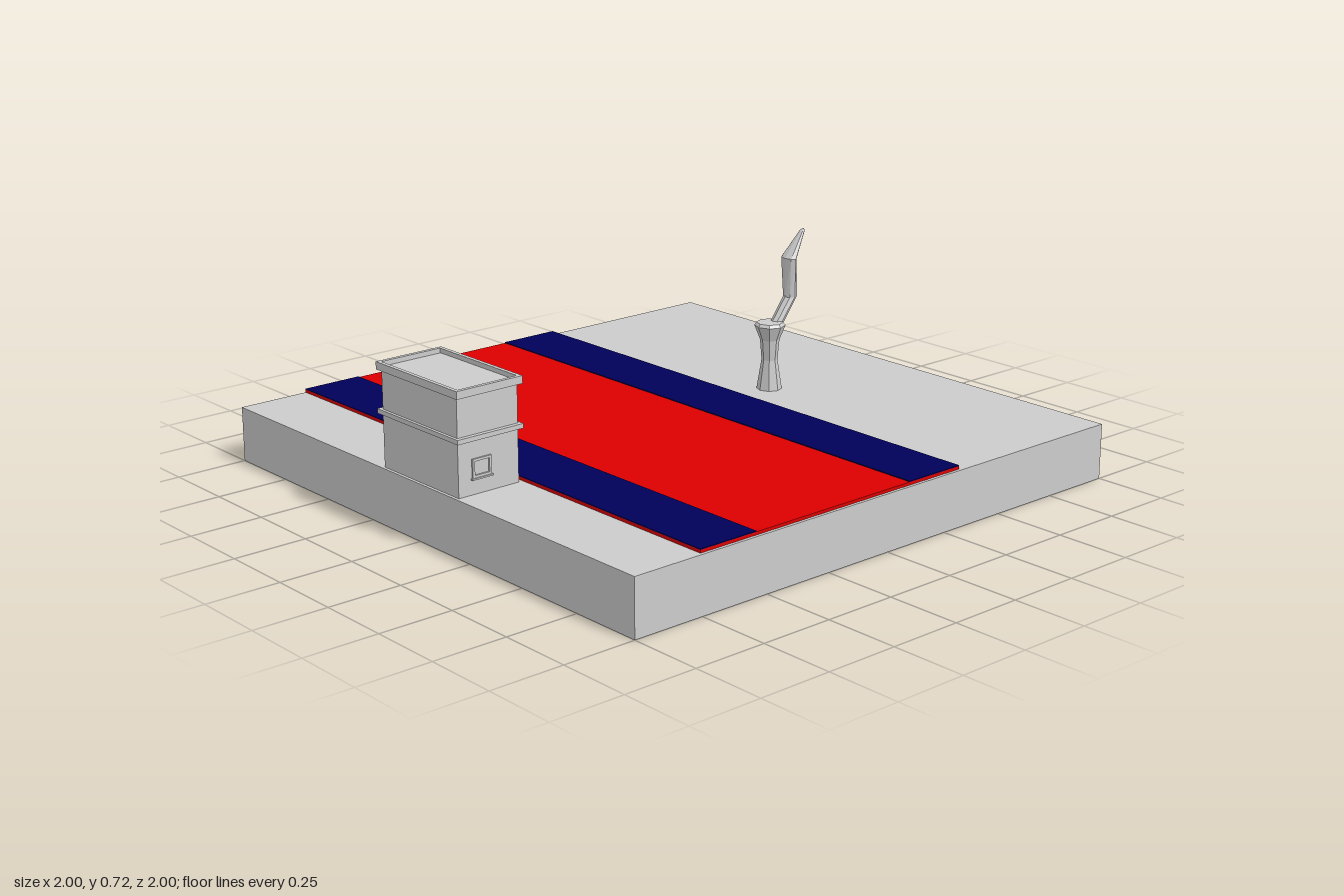
import * as THREE from 'three';

const paint = (color = 0xcccccc, flat = false) =>
  new THREE.MeshStandardMaterial({ color, flatShading: flat });
const grey = paint();
const faceted = paint(0xcccccc, true);
const red = paint(0xdd0000);
const navy = paint(0x00005a);

// Box given by its lower and upper corners
function box(name, [x0, y0, z0], [x1, y1, z1], material = grey) {
  const mesh = new THREE.Mesh(new THREE.BoxGeometry(x1 - x0, y1 - y0, z1 - z0), material);
  mesh.position.set((x0 + x1) / 2, (y0 + y1) / 2, (z0 + z1) / 2);
  mesh.name = name;
  return mesh;
}

// Flat rectangle with a rectangular hole, extruded along +z
function frameGeometry(w, h, rim, depth) {
  const rect = (target, a, b) => {
    target.moveTo(-a, -b);
    target.lineTo(a, -b);
    target.lineTo(a, b);
    target.lineTo(-a, b);
    target.closePath();
    return target;
  };
  const shape = rect(new THREE.Shape(), w / 2, h / 2);
  shape.holes.push(rect(new THREE.Path(), w / 2 - rim, h / 2 - rim));
  return new THREE.ExtrudeGeometry(shape, { depth, bevelEnabled: false });
}

// Raised frame with a sill, set on a wall that faces +z before turning
function opening(name, w, h, position, turn, sill = true) {
  const group = new THREE.Group();
  group.name = name;
  const frame = new THREE.Mesh(frameGeometry(w, h, 0.008, 0.006), grey);
  frame.name = name + 'Frame';
  group.add(frame);
  if (sill) {
    group.add(box(name + 'Sill', [-w / 2 - 0.004, -h / 2 - 0.005, 0], [w / 2 + 0.004, -h / 2, 0.01]));
  }
  group.position.set(...position);
  group.rotation.y = turn;
  return group;
}

function createHouse() {
  const house = new THREE.Group();
  house.name = 'house';
  house.add(box('walls', [-0.99, 0.187, -0.19], [-0.765, 0.51, 0.19]));
  house.add(box('floorBand', [-1, 0.36, -0.205], [-0.755, 0.375, 0.205]));

  // Parapet around the sunken roof
  const parapet = new THREE.Mesh(frameGeometry(0.245, 0.41, 0.013, 0.025), grey);
  parapet.name = 'parapet';
  parapet.rotation.x = -Math.PI / 2;
  parapet.position.set(-0.8775, 0.5, 0);
  house.add(parapet);

  // Openings on the street wall and the end wall
  const street = Math.PI / 2;
  house.add(opening('door', 0.08, 0.135, [-0.765, 0.258, -0.02], street, false));
  house.add(opening('lowerWindow', 0.065, 0.06, [-0.765, 0.27, 0.13], street));
  house.add(opening('upperWindow', 0.065, 0.075, [-0.765, 0.445, -0.01], street));
  house.add(opening('endWindow', 0.07, 0.06, [-0.905, 0.27, 0.19], 0));
  return house;
}

// Solid through elliptical rings of [x, y, radiusX, radiusZ]
function ringGeometry(rings, sides) {
  const positions = [];
  const index = [];
  for (const [x, y, rx, rz] of rings) {
    for (let i = 0; i < sides; i++) {
      const a = (i / sides) * Math.PI * 2;
      positions.push(x + rx * Math.cos(a), y, -rz * Math.sin(a));
    }
  }
  for (let r = 0; r < rings.length - 1; r++) {
    for (let i = 0; i < sides; i++) {
      const a = r * sides + i;
      const b = r * sides + ((i + 1) % sides);
      index.push(a, b, b + sides, a, b + sides, a + sides);
    }
  }
  const top = (rings.length - 1) * sides;
  for (let i = 1; i < sides - 1; i++) {
    index.push(0, i + 1, i);
    index.push(top, top + i, top + i + 1);
  }
  const geometry = new THREE.BufferGeometry();
  geometry.setAttribute('position', new THREE.Float32BufferAttribute(positions, 3));
  geometry.setIndex(index);
  geometry.computeVertexNormals();
  return geometry;
}

function createMonument() {
  const monument = new THREE.Group();
  monument.name = 'monument';

  // Waisted pedestal flaring at the top
  const pedestal = new THREE.Mesh(ringGeometry([
    [0.462, 0.187, 0.043, 0.043],
    [0.462, 0.29, 0.027, 0.027],
    [0.462, 0.36, 0.033, 0.033],
    [0.462, 0.41, 0.053, 0.053],
    [0.462, 0.42, 0.045, 0.045],
  ], 8), faceted);
  pedestal.name = 'pedestal';

  // Bent figure ending in a pointed tip
  const figure = new THREE.Mesh(ringGeometry([
    [0.492, 0.41, 0.026, 0.021],
    [0.555, 0.495, 0.024, 0.023],
    [0.547, 0.63, 0.018, 0.034],
    [0.608, 0.715, 0.007, 0.01],
    [0.613, 0.722, 0.001, 0.003],
  ], 8), faceted);
  figure.name = 'bentFigure';
  monument.add(pedestal, figure);
  return monument;
}

export function createModel() {
  const model = new THREE.Group();
  model.name = 'streetTile';

  // Ground in two layers
  model.add(box('lowerGround', [-1, 0, -1], [1, 0.13, 1]));
  model.add(box('upperGround', [-1, 0.13, -1], [1, 0.187, 1]));

  // Road with a pavement on each side
  model.add(box('road', [-0.75, 0.187, -1], [0.32, 0.197, 0.99], red));
  for (const [name, x0, x1] of [['rightPavement', -0.75, -0.535], ['leftPavement', 0.1, 0.32]]) {
    model.add(box(name, [x0, 0.197, -1], [x1, 0.2, 0.99], navy));
  }

  model.add(createHouse(), createMonument());
  return model;
}
